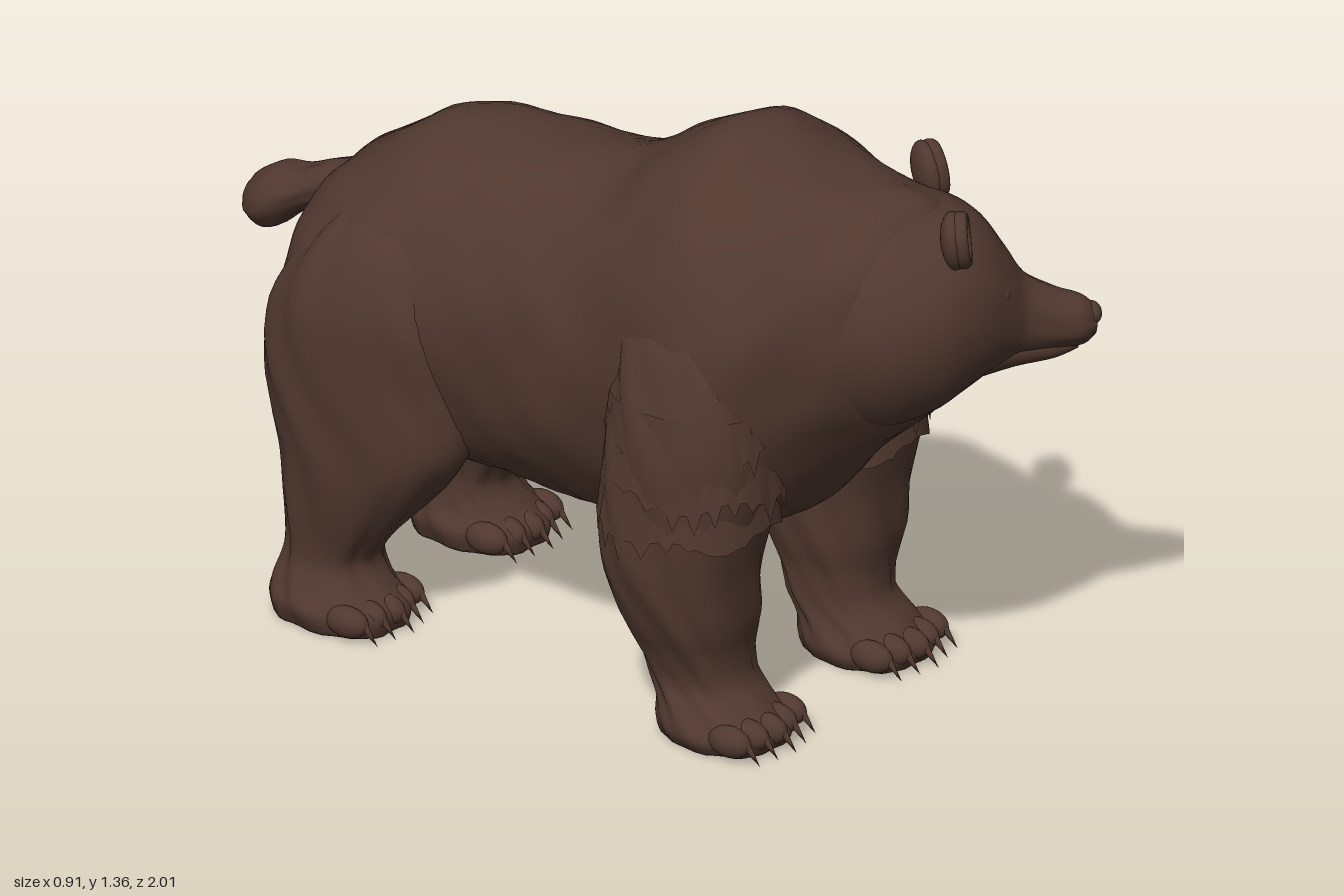
import * as THREE from 'three';

const fur = new THREE.MeshStandardMaterial({ color: 0x50382f, side: THREE.DoubleSide });
fur.name = 'brown fur';

// Smooth interpolation through rows of numbers
function smoothRows(rows, steps) {
  const out = [];
  for (let i = 0; i < rows.length - 1; i++) {
    const a = rows[Math.max(i - 1, 0)], b = rows[i], c = rows[i + 1], d = rows[Math.min(i + 2, rows.length - 1)];
    for (let s = 0; s < steps; s++) {
      const t = s / steps;
      out.push(b.map((_, k) => 0.5 * (2 * b[k] + (c[k] - a[k]) * t
        + (2 * a[k] - 5 * b[k] + 4 * c[k] - d[k]) * t * t
        + (3 * b[k] - a[k] - 3 * c[k] + d[k]) * t * t * t)));
    }
  }
  out.push(rows[rows.length - 1]);
  return out;
}

// Closed skin over elliptical rings; rows are [x, y, z, ru, rv], going up +z or +y
function loft(name, rows, axis = 'z', rough = 0.004, sides = 40, power = 2) {
  const rings = smoothRows(rows, 4), pos = [], index = [];
  rings.forEach(([x, y, z, ru, rv]) => {
    for (let j = 0; j < sides; j++) {
      const a = (j / sides) * Math.PI * 2;
      const sup = (v) => Math.sign(v) * Math.pow(Math.abs(v), 2 / power);
      // Gentle unevenness of the coat
      const n = rough * (Math.sin(a * 7 + y * 19 + z * 13) + Math.sin(a * 11 - z * 31 + y * 27));
      const c = sup(Math.cos(a)) * (ru + n), s = sup(Math.sin(a)) * (rv + n);
      if (axis === 'z') pos.push(x + c, y + s, z);
      else pos.push(x + s, y, z + c);
    }
  });
  const last = rings.length - 1;
  for (let i = 0; i < last; i++) {
    for (let j = 0; j < sides; j++) {
      const k = (j + 1) % sides, a = i * sides, b = a + sides;
      index.push(a + j, a + k, b + j, a + k, b + k, b + j);
    }
  }
  // End caps
  const e = pos.length / 3;
  pos.push(...rings[0].slice(0, 3), ...rings[last].slice(0, 3));
  for (let j = 0; j < sides; j++) {
    const k = (j + 1) % sides;
    index.push(e, k, j, e + 1, last * sides + j, last * sides + k);
  }
  const g = new THREE.BufferGeometry();
  g.setAttribute('position', new THREE.Float32BufferAttribute(pos, 3));
  g.setIndex(index);
  g.computeVertexNormals();
  const mesh = new THREE.Mesh(g, fur);
  mesh.name = name;
  return mesh;
}

function ball(name, r, p, s) {
  const m = new THREE.Mesh(new THREE.SphereGeometry(r, 20, 14), fur);
  m.name = name;
  m.position.set(...p);
  m.scale.set(...s);
  return m;
}

// Shaggy fringe with an uneven, pointed lower edge and a wavy hem
function fringe(name, x, y, z, rx, rz) {
  const n = 72;
  const g = new THREE.CylinderGeometry(0.95, 1.02, 0.09, n, 1, true);
  const p = g.attributes.position;
  const sup = (v) => Math.sign(v) * Math.pow(Math.abs(v), 0.83);
  for (let i = 0; i < p.count; i++) {
    const j = i % (n + 1) % n;
    const tuft = (j % 3 === 0 ? 0.025 : 0) * (1 + Math.sin(j * 2.3 + y * 40));
    const drop = p.getY(i) < 0 ? tuft + 0.015 * Math.sin(j / n * Math.PI * 10 + y * 30) : 0;
    p.setXYZ(i, x + sup(p.getX(i)) * rx, y + p.getY(i) - drop, z + sup(p.getZ(i)) * rz);
  }
  g.computeVertexNormals();
  const m = new THREE.Mesh(g, fur);
  m.name = name;
  return m;
}

// Toes and curved claws across the front of a paw
function toes(x, z) {
  const group = new THREE.Group();
  group.name = 'toes';
  for (let i = -2; i <= 2; i++) {
    const tx = x + i * 0.052, tz = z - Math.abs(i) * 0.012;
    group.add(ball('toe', 0.036, [tx, 0.058, tz - 0.04], [0.85, 1, 1.5]));
    const claw = new THREE.Mesh(new THREE.ConeGeometry(0.012, 0.07, 8), fur);
    claw.name = 'claw';
    claw.position.set(tx, 0.045, tz + 0.018);
    claw.rotation.x = 2.4;
    group.add(claw);
  }
  return group;
}

function makeHead() {
  const head = new THREE.Group();
  head.name = 'head';
  head.add(loft('skull', [
    [0, -0.03, -0.26, 0.2, 0.23], [0, -0.02, -0.12, 0.255, 0.27], [0, -0.01, 0, 0.25, 0.25],
    [0, 0, 0.08, 0.215, 0.215], [0, -0.005, 0.14, 0.17, 0.175], [0, -0.03, 0.19, 0.12, 0.125],
    [0, -0.06, 0.23, 0.086, 0.092], [0, -0.077, 0.3, 0.067, 0.068], [0, -0.085, 0.355, 0.054, 0.055],
    [0, -0.088, 0.385, 0.03, 0.03]], 'z', 0.001));
  head.add(loft('lower jaw', [
    [0, -0.12, 0.1, 0.11, 0.08], [0, -0.13, 0.2, 0.07, 0.05], [0, -0.138, 0.29, 0.045, 0.032],
    [0, -0.138, 0.345, 0.02, 0.015]], 'z', 0));
  head.add(ball('nose', 0.034, [0, -0.073, 0.376], [1, 0.75, 0.7]));
  for (const s of [-1, 1]) {
    head.add(ball('brow', 0.045, [s * 0.08, 0.04, 0.158], [1.3, 0.6, 0.6]));
    head.add(ball('eye', 0.012, [s * 0.08, 0.005, 0.184], [1, 0.8, 0.8]));
    // Rounded ear with a raised rim
    const ear = new THREE.Group();
    ear.name = 'ear';
    ear.position.set(s * 0.183, 0.213, 0.06);
    ear.rotation.set(-0.1, s * 0.2, -s * 0.25);
    ear.add(ball('ear back', 0.066, [0, 0, -0.018], [0.9, 1.05, 0.45]));
    const rim = new THREE.Mesh(new THREE.TorusGeometry(0.05, 0.011, 10, 28), fur);
    rim.name = 'ear rim';
    rim.scale.set(0.95, 1.12, 1.6);
    ear.add(rim);
    head.add(ear);
  }
  head.position.set(0.11, 1.0, 0.72);
  head.rotation.y = 0.79;
  return head;
}

export function createModel() {
  const bear = new THREE.Group();
  bear.name = 'bear';

  // Trunk and neck: z, centre x, top, bottom, half width
  const trunk = [
    [-0.775, 0, 0.84, 0.65, 0.1], [-0.74, 0, 0.95, 0.56, 0.24], [-0.68, 0, 1.02, 0.5, 0.31],
    [-0.58, 0, 1.09, 0.44, 0.345], [-0.45, 0, 1.165, 0.39, 0.355], [-0.3, 0, 1.185, 0.375, 0.335],
    [-0.15, 0, 1.19, 0.365, 0.335], [0, 0, 1.2, 0.365, 0.355], [0.1, 0, 1.235, 0.37, 0.36],
    [0.2, 0, 1.305, 0.38, 0.37], [0.34, 0, 1.37, 0.41, 0.39], [0.45, 0, 1.34, 0.44, 0.395],
    [0.55, 0.005, 1.3, 0.505, 0.365], [0.65, 0.03, 1.275, 0.63, 0.29], [0.75, 0.06, 1.25, 0.72, 0.235],
    [0.82, 0.09, 1.17, 0.82, 0.15]];
  bear.add(loft('trunk', trunk.map(([z, x, t, b, w]) => [x, (t + b) / 2, z, w, (t - b) / 2]), 'z', 0.003, 56));
  bear.add(makeHead());

  // Tail, from its rounded tip to its root
  bear.add(loft('tail', [
    [0, 0.815, -0.998, 0.025, 0.02], [0, 0.815, -0.975, 0.065, 0.055], [0, 0.83, -0.92, 0.088, 0.075],
    [0, 0.865, -0.85, 0.07, 0.053], [0, 0.9, -0.78, 0.058, 0.05], [0, 0.93, -0.68, 0.06, 0.055]], 'z', 0.001));

  // Leg sections: y, x, z, half width, half depth
  const fore = [
    [0.015, 0.265, 0.465, 0.115, 0.135], [0.05, 0.265, 0.465, 0.132, 0.145], [0.1, 0.262, 0.435, 0.115, 0.125],
    [0.15, 0.257, 0.4, 0.105, 0.115], [0.22, 0.265, 0.385, 0.116, 0.122], [0.3, 0.272, 0.375, 0.142, 0.145],
    [0.42, 0.28, 0.36, 0.163, 0.17], [0.55, 0.275, 0.37, 0.175, 0.19], [0.7, 0.272, 0.39, 0.178, 0.195],
    [0.85, 0.255, 0.39, 0.172, 0.185], [1.0, 0.22, 0.38, 0.155, 0.16], [1.12, 0.18, 0.37, 0.09, 0.1]];
  const hind = [
    [0.015, 0.26, -0.57, 0.115, 0.15], [0.06, 0.26, -0.57, 0.13, 0.157], [0.1, 0.257, -0.59, 0.112, 0.135],
    [0.15, 0.25, -0.597, 0.1, 0.108], [0.2, 0.25, -0.585, 0.1, 0.112], [0.3, 0.25, -0.545, 0.118, 0.16],
    [0.4, 0.25, -0.503, 0.135, 0.205], [0.5, 0.245, -0.49, 0.147, 0.25], [0.65, 0.24, -0.505, 0.155, 0.255],
    [0.8, 0.23, -0.49, 0.16, 0.235], [0.95, 0.19, -0.46, 0.145, 0.16], [1.04, 0.15, -0.44, 0.08, 0.08]];
  for (const s of [-1, 1]) {
    const side = s > 0 ? 'left' : 'right';
    const leg = (name, rows) => loft(name, rows.map(([y, x, z, rx, rz]) => [s * x, y, z, rz, rx]), 'y', 0.003, 40, 2.4);
    bear.add(leg(side + ' foreleg', fore), leg(side + ' hind leg', hind));
    bear.add(toes(s * 0.265, 0.615), toes(s * 0.26, -0.415));
    // Shaggy layers on the shoulder
    bear.add(fringe(side + ' lower shoulder fur', s * 0.275, 0.57, 0.375, 0.178, 0.195));
    bear.add(fringe(side + ' middle shoulder fur', s * 0.272, 0.67, 0.388, 0.18, 0.2));
    bear.add(fringe(side + ' upper shoulder fur', s * 0.263, 0.78, 0.39, 0.178, 0.196));
  }
  return bear;
}
